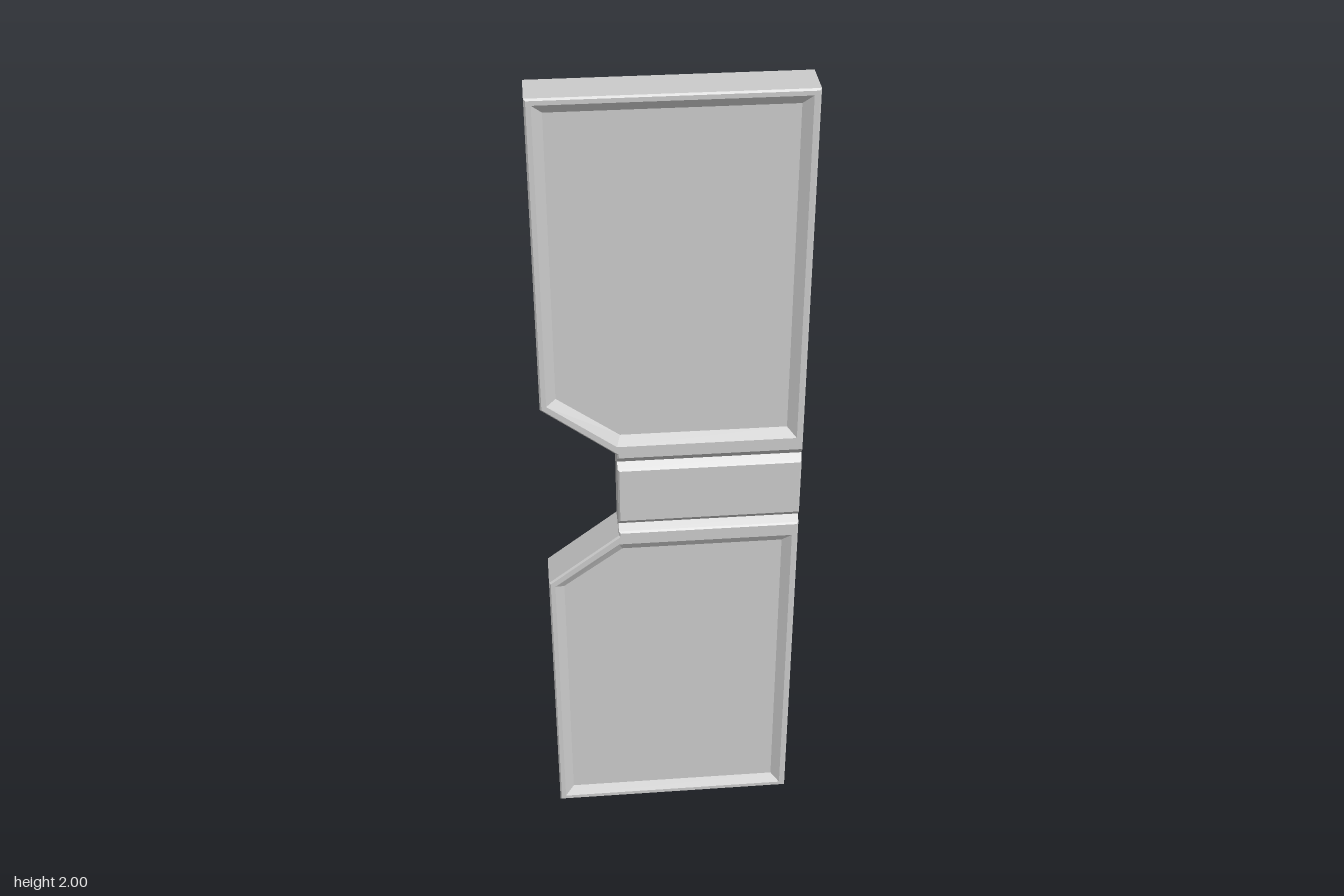
import * as THREE from 'three';

const W = 0.303, NX = -0.13;     // half width, x of the waist edge
const Z = 0.052, ZC = 0.048;     // face depth, start of the small edge chamfer
const ZG = 0.036, ZR = 0.037;    // groove depth, recessed panel depth
const C = 0.004;                 // edge chamfer

// Counter-clockwise outlines (seen from the front) joined from back to front
function loft(rings, name) {
  const pos = [];
  const tri = (a, b, c) => pos.push(...a, ...b, ...c);
  const n = rings[0].length;
  for (let k = 0; k < rings.length - 1; k++) {
    for (let i = 0; i < n; i++) {
      const j = (i + 1) % n;
      const [a, b, c, d] = [rings[k][i], rings[k][j], rings[k + 1][j], rings[k + 1][i]];
      tri(a, b, c);
      tri(a, c, d);
    }
  }
  const back = rings[0], front = rings[rings.length - 1];
  for (let i = 1; i < n - 1; i++) {
    tri(front[0], front[i], front[i + 1]);
    tri(back[0], back[i + 1], back[i]);
  }
  const geo = new THREE.BufferGeometry();
  geo.setAttribute('position', new THREE.Float32BufferAttribute(pos, 3));
  geo.computeVertexNormals();
  const mesh = new THREE.Mesh(geo, new THREE.MeshStandardMaterial({ color: 0xcccccc, flatShading: true }));
  mesh.name = name;
  return mesh;
}

// Front layers [outline, z] are repeated in reverse on the back
function doubleSided(layers, name) {
  const ring = ([pts, z], s) => pts.map(([x, y]) => [x, y, s * z]);
  const back = layers.slice().reverse().map(l => ring(l, -1));
  return loft([...back, ...layers.map(l => ring(l, 1))], name);
}

// Upper panel section; the lower one is its mirror image
function panelLayers() {
  const outline = (bottom, c) => [
    [W - c, bottom], [W - c, 2 - c], [-W + c, 2 - c],
    [-W + c, 1.252 + c / 2], [NX + c, 1.118 + c / 2], [NX + c, bottom],
  ];
  // Recess outline: the last two corners meet in one point
  const recess = (x, top, side, cx, bottom) => [
    [x, bottom], [x, top], [-x, top], [-x, side], [cx, bottom], [cx, bottom],
  ];
  return [
    [outline(1.09, 0), ZG],
    [outline(1.106, 0), ZC],
    [outline(1.11, C), Z],
    [recess(0.288, 1.986, 1.262, -0.13, 1.142), Z],
    [recess(0.266, 1.964, 1.273, -0.122, 1.166), ZR],
  ];
}

export function createModel() {
  const group = new THREE.Group();
  group.name = 'notchedPanel';

  // Framed, recessed panels above and below the waist
  const upper = panelLayers();
  const lower = upper.map(([pts, z]) => [pts.map(([x, y]) => [x, 2 - y]).reverse(), z]);
  group.add(doubleSided(upper, 'upperPanel'));
  group.add(doubleSided(lower, 'lowerPanel'));

  // Narrow waist, bevelled towards the two grooves
  const band = (h, c) => [[W - c, 1 - h], [W - c, 1 + h], [NX + c, 1 + h], [NX + c, 1 - h]];
  group.add(doubleSided([
    [band(0.09, 0), ZG],
    [band(0.076, 0), ZC],
    [band(0.072, C), Z],
  ], 'waist'));

  return group;
}
